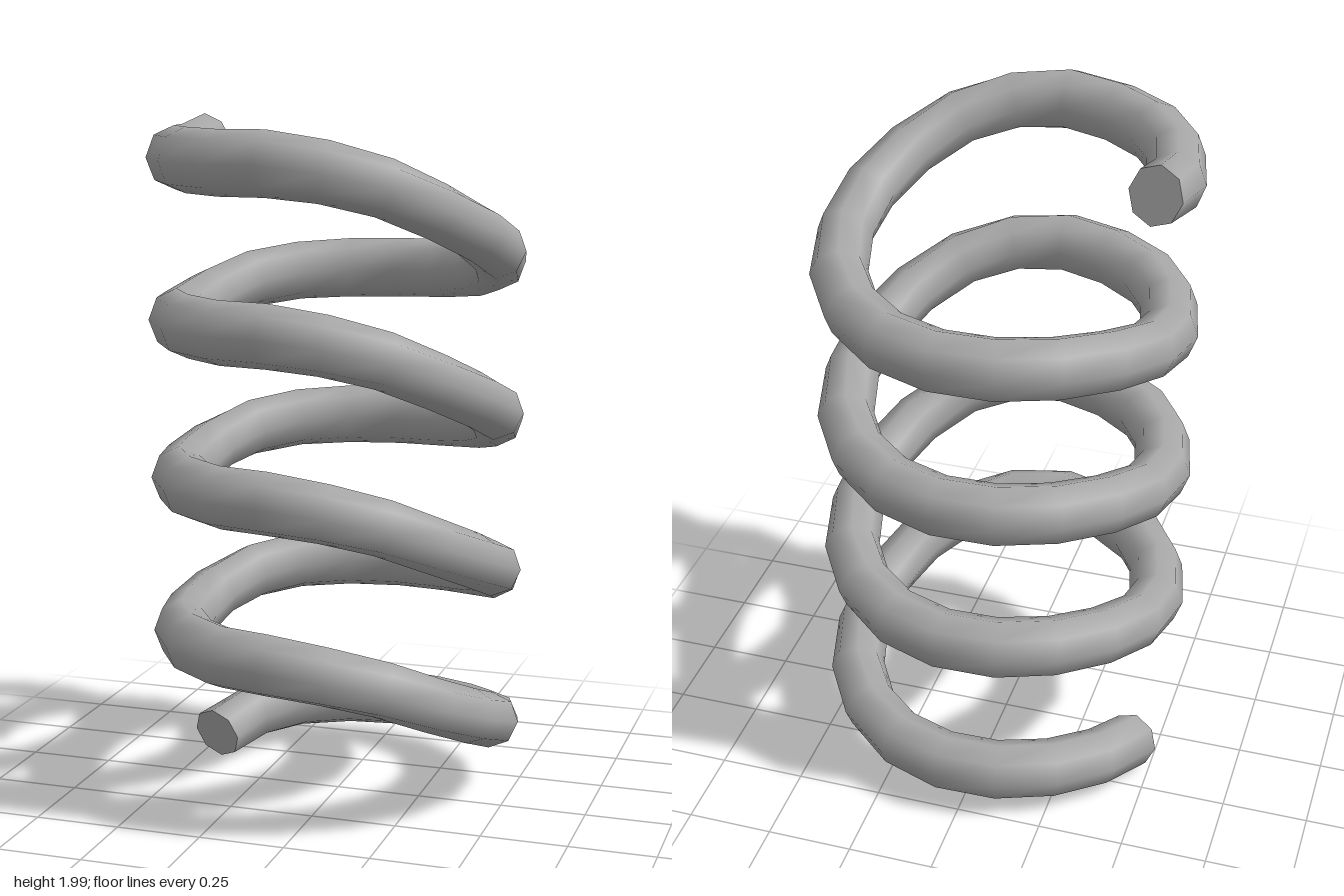
import * as THREE from 'three';

const TURNS = 4, PITCH = 0.457, RADIUS = 0.46, TOP = 1.88;
const SIDES = 8, STEPS = 18 * TURNS, START = -17;
// Drop in height every 30 degrees of one turn: level front, steep right side, level back
const DROP = [0, 0, 0, 0, 0.05, 0.15, 0.246, 0.315, 0.35, 0.362, 0.37, 0.4];

function dropAt(k) {
  const turn = Math.floor(k / 12);
  return DROP[k - turn * 12] + turn * PITCH;
}

// Centre line of the wire; 0 degrees is the -x side, turning towards the front
function centre(deg) {
  const k = Math.floor(deg / 30), t = deg / 30 - k;
  const [a, b, c, d] = [-1, 0, 1, 2].map((o) => dropAt(k + o));
  const drop = b + 0.5 * t * (c - a + t * (2 * a - 5 * b + 4 * c - d + t * (3 * (b - c) + d - a)));
  const r = THREE.MathUtils.degToRad(deg);
  return new THREE.Vector3(-RADIUS * Math.cos(r), TOP - drop, RADIUS * Math.sin(r));
}

// One ring of points around the wire, a little slimmer where it is steep
function ring(deg) {
  const c = centre(deg), r = THREE.MathUtils.degToRad(deg);
  const tangent = centre(deg + 4).sub(centre(deg - 4)).normalize();
  const out = new THREE.Vector3(-Math.cos(r), 0, Math.sin(r));
  const up = tangent.clone().cross(out).normalize();
  const tall = 0.09 - 0.03 * Math.min(0.45, Math.abs(tangent.y));
  const points = [];
  for (let j = 0; j < SIDES; j++) {
    const a = (j / SIDES) * Math.PI * 2;
    points.push(c.clone().addScaledVector(out, 0.081 * Math.cos(a)).addScaledVector(up, tall * Math.sin(a)));
  }
  return points;
}

function geometry(points, index) {
  const g = new THREE.BufferGeometry().setFromPoints(points);
  g.setIndex(index);
  g.computeVertexNormals();
  return g;
}

export function createModel() {
  const group = new THREE.Group();
  group.name = 'coilSpring';
  const steel = new THREE.MeshStandardMaterial({ color: 0xa8a8a8 });
  steel.name = 'steel grey';

  // Wound wire
  const rings = [];
  for (let i = 0; i <= STEPS; i++) rings.push(ring(START + (i / STEPS) * 360 * TURNS));
  const index = [];
  for (let i = 0; i < STEPS; i++) {
    for (let j = 0; j < SIDES; j++) {
      const n = (j + 1) % SIDES;
      const a = i * SIDES + j, b = i * SIDES + n, c = a + SIDES, d = b + SIDES;
      index.push(a, b, c, b, d, c);
    }
  }
  const wire = new THREE.Mesh(geometry(rings.flat(), index), steel);
  wire.name = 'wire';
  group.add(wire);

  // Flat cut ends
  const addEnd = (points, flip, name) => {
    const fan = [];
    for (let j = 1; j < SIDES - 1; j++) fan.push(0, flip ? j + 1 : j, flip ? j : j + 1);
    const end = new THREE.Mesh(geometry(points, fan), steel);
    end.name = name;
    group.add(end);
  };
  addEnd(rings[0], true, 'topEnd');
  addEnd(rings[STEPS], false, 'bottomEnd');
  return group;
}
